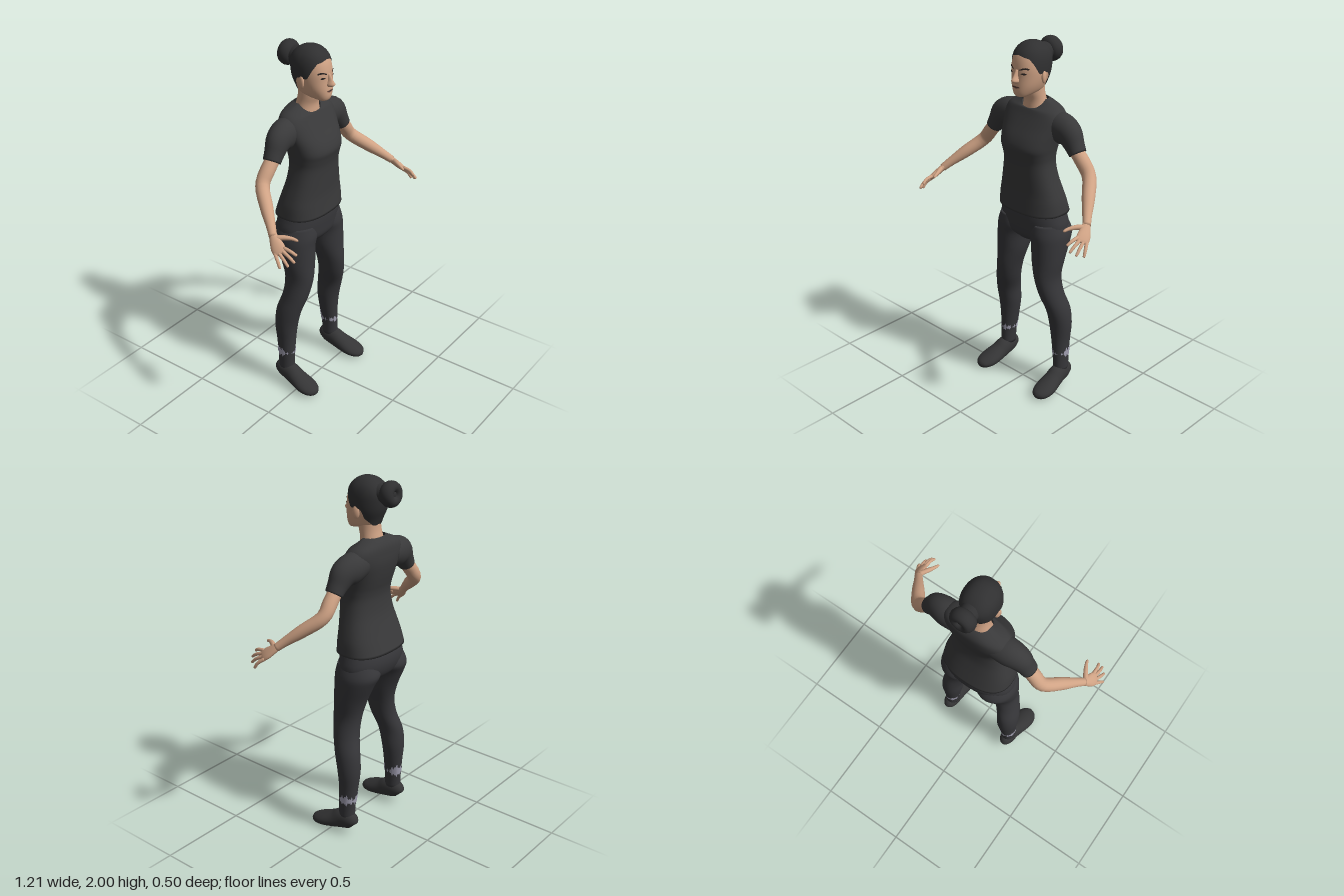
import * as THREE from 'three';

const mat = (name, color, side = THREE.FrontSide) => {
  const m = new THREE.MeshStandardMaterial({ color, side });
  m.name = name;
  return m;
};

// Surface over a grid of points; rows may close around and be capped
function surface(rows, { closed = true, capA = false, capB = false } = {}) {
  const n = rows[0].length, pos = [], idx = [];
  rows.forEach(r => r.forEach(p => pos.push(p.x, p.y, p.z)));
  for (let i = 0; i < rows.length - 1; i++)
    for (let j = 0; j < (closed ? n : n - 1); j++) {
      const k = (j + 1) % n, a = i * n + j, b = i * n + k;
      idx.push(a, a + n, b, b, a + n, b + n);
    }
  const cap = (i, flip) => {
    const c = rows[i].reduce((s, p) => s.add(p), new THREE.Vector3()).divideScalar(n);
    const at = pos.length / 3;
    pos.push(c.x, c.y, c.z);
    for (let j = 0; j < n; j++) {
      const a = i * n + j, b = i * n + (j + 1) % n;
      if (flip) idx.push(at, b, a); else idx.push(at, a, b);
    }
  };
  if (capA) cap(0, false);
  if (capB) cap(rows.length - 1, true);
  const g = new THREE.BufferGeometry();
  g.setAttribute('position', new THREE.Float32BufferAttribute(pos, 3));
  g.setIndex(idx);
  g.computeVertexNormals();
  return g;
}

// Smooth interpolation between stations
function sample(st, s) {
  const last = st.length - 1, i = Math.min(Math.floor(s), last - 1), t = s - i;
  const [a, b, c, d] = [st[Math.max(i - 1, 0)], st[i], st[i + 1], st[Math.min(i + 2, last)]];
  return b.map((v, k) => v + 0.5 * t * (c[k] - a[k] + t * (2 * a[k] - 5 * v + 4 * c[k] - d[k] + t * (3 * (v - c[k]) + d[k] - a[k]))));
}
function sampleAtY(st, y) {
  let lo = 0, hi = st.length - 1;
  for (let i = 0; i < 24; i++) {
    const m = (lo + hi) / 2;
    if (sample(st, m)[0] < y) lo = m; else hi = m;
  }
  return sample(st, lo);
}
const dense = (st, per) => Array.from({ length: (st.length - 1) * per + 1 }, (_, i) => sample(st, i / per));
const pw = (v, p) => Math.sign(v) * Math.abs(v) ** p;

// Horizontal station: [y, halfWidth, zFront, zBack, centreX, frontDrop]
function ringPoint([y, w, zf, zb, cx = 0, drop = 0], th, p = 1, off = 0) {
  const c = pw(Math.cos(th), p), s = pw(Math.sin(th), p);
  return new THREE.Vector3(cx + (w + off) * c, y - drop * Math.max(0, s), (zf + zb) / 2 + ((zf - zb) / 2 + off) * s);
}
const angles = n => Array.from({ length: n }, (_, j) => j / n * Math.PI * 2);
const loft = (st, { n = 40, per = 4, p = 1, capA = true, capB = true } = {}) =>
  surface(dense(st, per).map(r => angles(n).map(t => ringPoint(r, t, p))), { capA, capB });

// Swept limb: [x, y, z, radiusAcross, radiusThrough], across follows side
function limb(st, side = [0, 1, 0], { n = 20, per = 4 } = {}) {
  const rows = dense(st, per), S0 = new THREE.Vector3(...side);
  const at = i => new THREE.Vector3(...rows[Math.min(Math.max(i, 0), rows.length - 1)].slice(0, 3));
  return surface(rows.map((r, i) => {
    const T = at(i + 1).sub(at(i - 1)).normalize();
    const S = S0.clone().addScaledVector(T, -S0.dot(T)).normalize();
    const B = S.clone().cross(T);
    return angles(n).map(t => at(i).addScaledVector(S, r[3] * Math.cos(t)).addScaledVector(B, (r[4] ?? r[3]) * Math.sin(t)));
  }), { capA: true, capB: true });
}

function mirrored(geo) {
  const g = geo.clone().scale(-1, 1, 1), a = g.index.array;
  for (let i = 0; i < a.length; i += 3) [a[i], a[i + 1]] = [a[i + 1], a[i]];
  g.computeVertexNormals();
  return g;
}

export function createModel() {
  const M = {
    skin: mat('skin', 0xd0a385), hair: mat('hair', 0x303031, THREE.DoubleSide),
    shirt: mat('shirt', 0x39393a, THREE.DoubleSide), trousers: mat('trousers', 0x37373a),
    shoe: mat('shoe', 0x353536), sock: mat('sock', 0xa3a1b3, THREE.DoubleSide),
    dark: mat('eye dark', 0x2b2523, THREE.DoubleSide), lips: mat('lips', 0x8a5e50, THREE.DoubleSide),
  };
  const group = new THREE.Group();
  group.name = 'woman';
  const add = (name, geo, m) => {
    const mesh = new THREE.Mesh(geo, m);
    mesh.name = name;
    group.add(mesh);
  };
  const pair = (name, geo, m) => {
    add('left ' + name, geo, m);
    add('right ' + name, mirrored(geo), m);
  };

  // Torso clothing
  add('shirt body', loft([
    [1.075, .207, .05, -.23, 0, 0], [1.14, .2, .045, -.208, 0, 0], [1.2, .186, .042, -.188, 0, 0],
    [1.28, .165, .045, -.165, 0, 0], [1.36, .15, .05, -.156, 0, 0], [1.41, .153, .06, -.16, 0, 0],
    [1.45, .16, .068, -.17, 0, 0], [1.5, .17, .052, -.182, 0, 0], [1.56, .185, .018, -.192, 0, 0],
    [1.61, .19, -.01, -.192, 0, 0], [1.65, .165, -.025, -.187, 0, .01], [1.678, .11, -.03, -.172, 0, .03],
    [1.695, .072, -.035, -.152, 0, .047]], { n: 56, p: .8, capB: false }), M.shirt);
  pair('sleeve', limb([[.11, 1.575, -.11, .07, .07], [.18, 1.563, -.106, .083, .072], [.235, 1.545, -.1, .076, .064],
    [.275, 1.497, -.095, .056, .052], [.302, 1.458, -.092, .045, .048]], [0, 1, 0], { n: 28 }), M.shirt);
  add('trouser seat', loft([[.9, .08, -.01, -.15], [.94, .195, .024, -.2], [1, .214, .033, -.222],
    [1.06, .2, .036, -.218], [1.12, .18, .03, -.19]], { p: .9 }), M.trousers);

  // Legs, with ragged pale sock showing at the ankles
  const leg = [[.11, .04, -.047, -.142, .21], [.2, .042, -.046, -.146, .207], [.3, .051, -.044, -.157, .201],
    [.4, .062, -.034, -.166, .198], [.5, .062, -.01, -.159, .192], [.6, .065, .02, -.133, .165],
    [.7, .069, .035, -.132, .143], [.8, .089, .032, -.156, .133], [.9, .1, .03, -.2, .128],
    [.96, .112, .032, -.223, .114], [1.02, .095, .02, -.2, .11]];
  pair('leg', loft(leg), M.trousers);
  const sockRow = top => angles(90).map(t => {
    const h = .024 + .02 * Math.sin(3 * t + 2) + .014 * Math.sin(11 * t) + .012 * Math.sin(23 * t) - .02 * Math.sin(t);
    const y = .222 + Math.max(0, h) * (top ? .65 : -.45);
    return ringPoint(sampleAtY(leg, y), t, 1, .0025);
  });
  pair('sock patch', surface([sockRow(false), sockRow(true)]), M.sock);

  // Shoes: [z, centreX, halfWidth, bottom, top]
  const shoe = [[-.156, .212, .012, .06, .085], [-.148, .212, .03, .046, .112], [-.12, .212, .042, .036, .138],
    [-.065, .213, .047, .022, .137], [-.02, .217, .052, .012, .112], [.04, .223, .061, .003, .085],
    [.085, .226, .056, .001, .066], [.117, .226, .037, .004, .05], [.131, .226, .012, .015, .034]];
  pair('shoe', limb(shoe.map(([z, x, w, b, t]) => [x, (b + t) / 2, z, w, (t - b) / 2]), [1, 0, 0], { n: 28 }), M.shoe);

  // Arms and hands
  pair('arm', limb([[.26, 1.5, -.09, .036], [.33, 1.425, -.095, .039], [.385, 1.355, -.088, .037],
    [.45, 1.285, -.01, .034], [.5, 1.23, .055, .025], [.532, 1.193, .095, .021]]), M.skin);
  const across = new THREE.Vector3(.62, -.52, -.58);
  pair('palm', limb([[.522, 1.205, .083, .018, .017], [.537, 1.183, .108, .027, .017], [.552, 1.158, .138, .036, .016],
    [.561, 1.142, .16, .035, .012], [.565, 1.136, .168, .028, .007]], across.toArray()), M.skin);
  [[-.026, .533, 1.137, .243], [-.009, .556, 1.108, .248], [.009, .581, 1.09, .227], [.026, .6, 1.076, .19]].forEach(([k, x, y, z], i) => {
    const a = new THREE.Vector3(.558, 1.146, .155).addScaledVector(across, k), b = new THREE.Vector3(x, y, z);
    const m = a.clone().lerp(b, .55).add(new THREE.Vector3(.004, .006, .003)), e = m.clone().lerp(b, .9);
    pair('finger ' + (i + 1), limb([[...a, .01], [...m, .0088], [...e, .007], [...b, .002]], across.toArray(), { n: 10 }), M.skin);
  });
  pair('thumb', limb([[.533, 1.19, .107, .014], [.508, 1.194, .145, .013], [.489, 1.191, .18, .0095],
    [.481, 1.185, .203, .007], [.479, 1.182, .21, .002]], [0, 1, 0], { n: 10 }), M.skin);

  // Neck and head
  add('neck', loft([[1.6, .1, -.035, -.16], [1.645, .074, -.036, -.158], [1.69, .063, -.036, -.148],
    [1.74, .059, -.022, -.138], [1.83, .058, -.01, -.135]], { n: 32 }), M.skin);
  const head = [[1.722, .018, .03, -.005], [1.729, .037, .042, -.03], [1.75, .06, .05, -.125], [1.785, .076, .05, -.142],
    [1.83, .087, .046, -.162], [1.875, .09, .044, -.171], [1.92, .086, .034, -.172], [1.955, .073, .016, -.155],
    [1.98, .05, -.012, -.125], [1.992, .026, -.038, -.096], [1.996, .003, -.062, -.07]];
  const P = .9, onHead = (y, t, off) => ringPoint(sampleAtY(head, y), t, P, off);
  add('head', loft(head, { n: 48, p: P }), M.skin);
  add('nose', loft([[1.801, .011, .058, .02], [1.808, .018, .074, .02], [1.818, .018, .081, .02],
    [1.838, .011, .068, .02], [1.87, .009, .049, .02]], { n: 16 }), M.skin);
  const ear = new THREE.SphereGeometry(1, 16, 12).scale(.011, .034, .02).rotateY(.35).translate(.09, 1.827, -.062);
  pair('ear', ear, M.skin);

  // Painted face details: angles in degrees away from the front
  const patch = (a0, a1, low, high, n = 12) => surface([0, .5, 1].map(v => Array.from({ length: n + 1 }, (_, j) => {
    const u = j / n, t = (90 - a1 + (a1 - a0) * u) * Math.PI / 180;
    return onHead(low(1 - u) + (high(1 - u) - low(1 - u)) * v, t, .003);
  })), { closed: false });
  const arch = u => Math.sin(Math.PI * u);
  pair('eyebrow', patch(11, 42, u => 1.868 + .008 * arch(u * .8), u => 1.874 + .011 * arch(u * .8)), M.dark);
  pair('eye', patch(15, 36, u => 1.852 - .004 * arch(u), u => 1.852 + .006 * arch(u)), M.dark);
  add('lips', patch(-17, 17, u => 1.779 - .007 * arch(u), u => 1.781 + .004 * arch(u)), M.lips);
  add('mouth line', patch(-14, 14, u => 1.7785, u => 1.7815).translate(0, 0, .001), M.dark);

  // Hair cap with a shaped hairline, and a bun with its band
  const line = [[0, 1.942], [40, 1.928], [58, 1.895], [76, 1.845], [90, 1.852], [104, 1.845], [118, 1.8], [150, 1.758], [180, 1.752]];
  const hairline = t => {
    const a = Math.acos(Math.min(1, Math.max(-1, Math.sin(t)))) * 180 / Math.PI;
    const i = Math.max(1, line.findIndex(q => q[0] >= a - 1e-6)), [a0, y0] = line[i - 1], [a1, y1] = line[i];
    return y0 + (y1 - y0) * (a - a0) / (a1 - a0);
  };
  add('hair cap', surface(Array.from({ length: 21 }, (_, i) => angles(64).map(t => {
    const y0 = hairline(t), v = Math.sin(i / 20 * Math.PI / 2);
    const p = onHead(y0 + (1.9958 - y0) * v, t, .0045);
    p.y += .004 * v;
    return p;
  })), { capB: true }), M.hair);
  add('hair bun', new THREE.TorusGeometry(.037, .031, 18, 36).scale(1, 1, 1.25).rotateX(.08).translate(0, 1.927, -.212), M.hair);
  add('bun core', new THREE.SphereGeometry(.034, 20, 14).scale(1, 1, .7).translate(0, 1.927, -.215), M.hair);
  add('bun band', new THREE.CylinderGeometry(.045, .052, .05, 28).rotateX(-Math.PI / 2).translate(0, 1.922, -.172), M.hair);
  return group;
}
